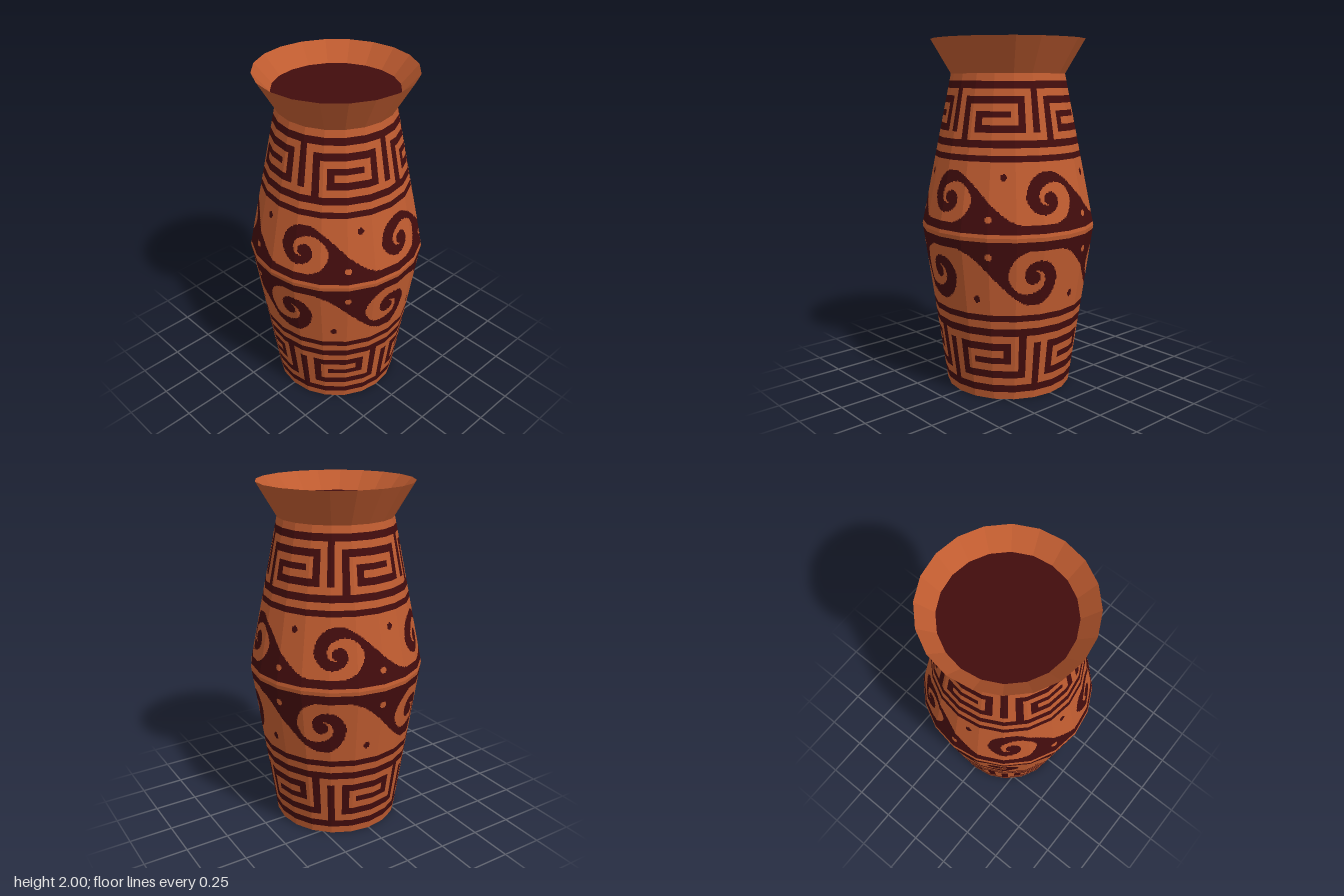
import * as THREE from 'three';

const SIDES = 20, BELLY = 0.955, NECK = 1.81;
const R_FOOT = 0.367, R_BELLY = 0.502, R_NECK = 0.326, R_RIM = 0.438;
const PERIOD = 72; // every painted motif repeats five times round the vase
const mod = (a, n) => ((a % n) + n) % n;

// Square meander: one repeat, 12 columns by 7 rows
const KEY = [
  '#...........',
  '#.#########.',
  '#.#.......#.',
  '#.#.#####.#.',
  '#.#.#.....#.',
  '#.#.#######.',
  '..#.........',
];

// Spiral radii at each quarter turn, counted from straight up
const HOOK = [0.145, 0.128, 0.08, 0.055, 0.033, 0.03, 0.03, 0.03];
const TONGUE = [0.3, 0.2, 0.137, 0.147, 0.075, 0.055, 0.03, 0.03];
function spiral(knots, turn) {
  const q = Math.min(Math.max(turn, 0), knots.length - 1.001);
  const i = Math.floor(q);
  return THREE.MathUtils.lerp(knots[i], knots[i + 1], q - i);
}

// Curling wave with dots; x and y are measured from the eye of the curl
function waveIsDark(deg, s) {
  const unit = (Math.PI / 180) * 0.46, width = PERIOD * unit;
  const y = (s - 0.234) * 0.855;
  const along = mod(deg - 5, PERIOD) * unit;
  if (Math.hypot(along - 31 * unit, y + 0.105) < 0.019) return false;
  if (Math.hypot(along - 40.6 * unit, y - 0.115) < 0.018) return true;
  const slope = y < 0.005 + 0.14 * Math.cos(Math.PI * Math.min(along / 0.45, 1));
  const x = along > width / 2 ? along - width : along;
  const r = Math.hypot(x, y);
  const turn = mod(Math.atan2(y, x) / (Math.PI / 2) - 1, 4); // 0 up, 1 left, 2 down, 3 right
  if (x >= 0) {
    const q = turn < 1 ? turn + 4 : turn;
    return r > spiral(TONGUE, q) ? slope : r < spiral(HOOK, q);
  }
  if (r > spiral(HOOK, turn)) return slope;
  return r > spiral(TONGUE, turn + 4) || r < spiral(HOOK, turn + 4);
}

// Painted pattern: s runs from 0 at the belly to 1 at the neck or foot
function isDark(deg, s) {
  if (s < 0.022) return false;
  if (s < 0.465) return waveIsDark(deg, s);
  if (s < 0.5) return true;
  if (s < 0.545) return false;
  if (s < 0.59) return true;
  if (s < 0.91) {
    const row = Math.min(6, Math.floor(((0.91 - s) / 0.32) * 7));
    return KEY[row][Math.floor(mod(deg + 3, PERIOD) / 6) % 12] === '#';
  }
  return s < 0.955;
}

// Point on a flat facet of the vase wall
function wallPoint(col, perSide, y, r) {
  const f = Math.floor(col / perSide), k = col / perSide - f;
  const a = (f * 2 * Math.PI) / SIDES, b = ((f + 1) * 2 * Math.PI) / SIDES;
  return [
    r * THREE.MathUtils.lerp(Math.sin(a), Math.sin(b), k), y,
    r * THREE.MathUtils.lerp(Math.cos(a), Math.cos(b), k),
  ];
}

// Half of the body, cut into rows and runs of one colour; group 0 clay, group 1 paint
function paintedWall(yFar, rFar, flip) {
  const rows = 130, perSide = 24, step = 360 / (SIDES * perSide);
  const lists = [[], []];
  for (let j = 0; j < rows; j++) {
    const ends = [j / rows, (j + 1) / rows];
    if (flip < 0) ends.reverse();
    const [y0, y1] = ends.map((s) => THREE.MathUtils.lerp(BELLY, yFar, s));
    const [r0, r1] = ends.map((s) => THREE.MathUtils.lerp(R_BELLY, rFar, s));
    for (let f = 0; f < SIDES; f++) {
      const last = (f + 1) * perSide;
      const dark = (c) => (isDark(flip * (c + 0.5) * step, (j + 0.5) / rows) ? 1 : 0);
      for (let c = f * perSide; c < last;) {
        const tone = dark(c);
        let e = c + 1;
        while (e < last && dark(e) === tone) e++;
        // the right edge stays on this facet
        const at = (col, y, r) => {
          if (col < last) return wallPoint(col, perSide, y, r);
          const a = ((f + 1) * 2 * Math.PI) / SIDES;
          return [r * Math.sin(a), y, r * Math.cos(a)];
        };
        const p = at(c, y0, r0), q = at(e, y0, r0), u = at(e, y1, r1), v = at(c, y1, r1);
        lists[tone].push(...p, ...q, ...u, ...p, ...u, ...v);
        c = e;
      }
    }
  }
  const geo = new THREE.BufferGeometry();
  const all = lists[0].concat(lists[1]);
  geo.setAttribute('position', new THREE.Float32BufferAttribute(all, 3));
  geo.addGroup(0, lists[0].length / 3, 0);
  geo.addGroup(lists[0].length / 3, lists[1].length / 3, 1);
  geo.computeVertexNormals();
  return geo;
}

// Faceted surface of revolution
function facetedLathe(points) {
  const geo = new THREE.LatheGeometry(points.map(([r, y]) => new THREE.Vector2(r, y)), SIDES).toNonIndexed();
  geo.computeVertexNormals();
  return geo;
}

export function createModel() {
  const clay = new THREE.MeshStandardMaterial({ color: 0xc05c30 });
  clay.name = 'terracotta';
  const paint = new THREE.MeshStandardMaterial({ color: 0x420c0d });
  paint.name = 'dark maroon';

  const vase = new THREE.Group();
  vase.name = 'vase';
  const add = (name, geo, mat) => {
    const mesh = new THREE.Mesh(geo, mat);
    mesh.name = name;
    vase.add(mesh);
    return mesh;
  };

  // Body: the lower pattern is the upper one turned upside down
  add('upperBody', paintedWall(NECK, R_NECK, 1), [clay, paint]);
  add('lowerBody', paintedWall(0, R_FOOT, -1), [clay, paint]);

  // Flared lip, outside and inside
  add('lip', facetedLathe([[R_NECK, NECK], [R_RIM, 2], [0.345, 1.895]]), clay);

  // Dark opening and flat base
  const disc = (r) => new THREE.CircleGeometry(r, SIDES).rotateX(-Math.PI / 2);
  add('opening', disc(0.345), paint).position.y = 1.895;
  add('base', disc(R_FOOT).rotateX(Math.PI), clay);
  return vase;
}
